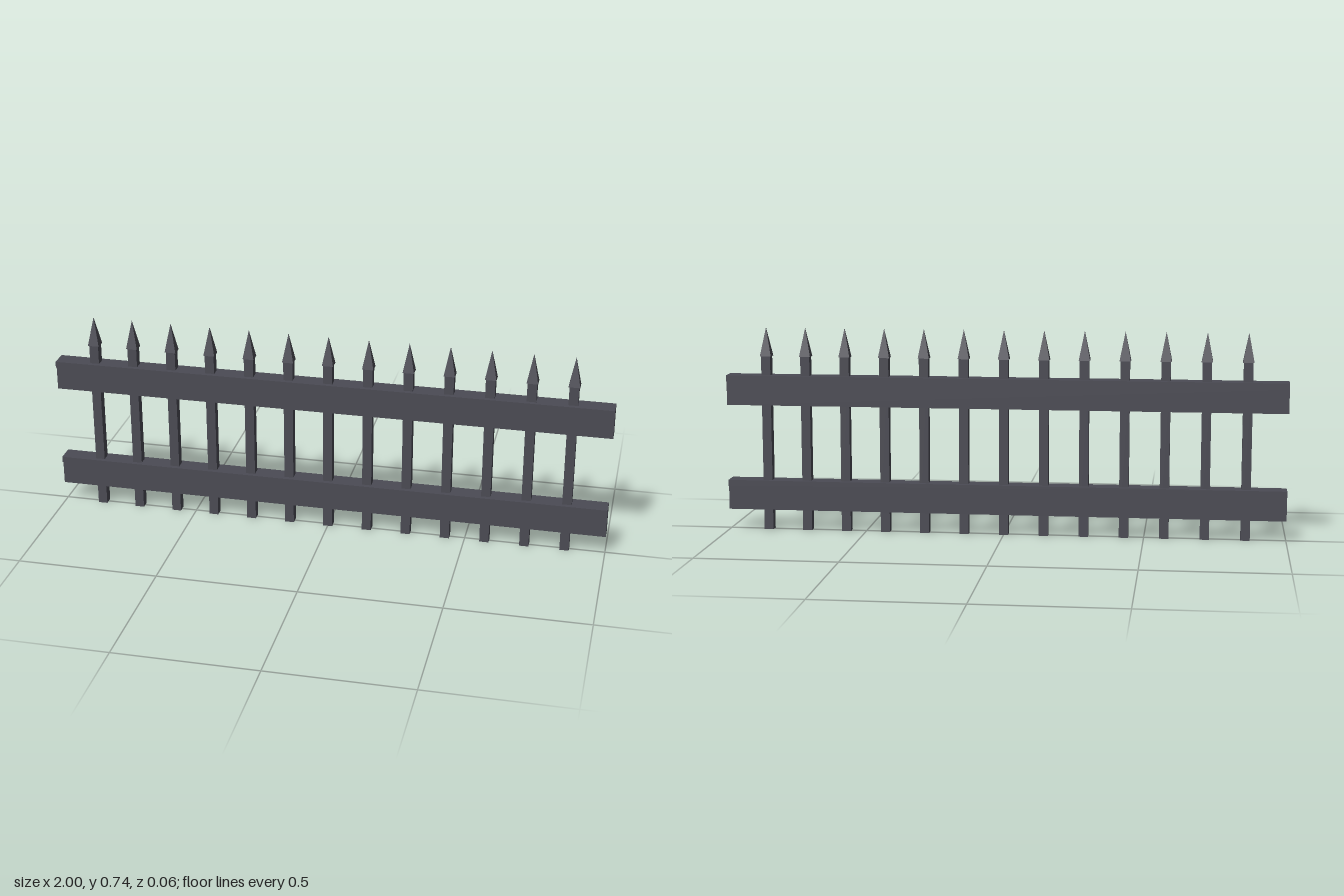
import * as THREE from 'three';

export function createModel() {
  const group = new THREE.Group();
  group.name = 'fence';
  const iron = new THREE.MeshStandardMaterial({ color: 0x4b4b54 });
  iron.name = 'dark iron';

  const add = (name, geometry, x, y, parent = group) => {
    const mesh = new THREE.Mesh(geometry, iron);
    mesh.name = name;
    mesh.position.set(x, y, 0);
    parent.add(mesh);
  };
  const bar = (w, bottom, top, d) => new THREE.BoxGeometry(w, top - bottom, d).translate(0, (bottom + top) / 2, 0);

  // Two horizontal rails, each with a wider cap strip on top
  const railBody = bar(2, 0, 0.086, 0.049);
  const railCap = bar(2, 0.086, 0.108, 0.065);
  for (const [name, y] of [['lower', 0.074], ['upper', 0.455]]) {
    add(name + 'Rail', railBody, 0, y);
    add(name + 'RailCap', railCap, 0, y);
  }

  // Square pickets with four-sided spear points
  const post = bar(0.033, 0, 0.631, 0.033);
  const point = new THREE.ConeGeometry(0.02 * Math.SQRT2, 0.104, 4, 1)
    .rotateY(Math.PI / 4)
    .translate(0, 0.052, 0)
    .toNonIndexed();
  point.computeVertexNormals();
  for (let i = -6; i <= 6; i++) {
    const picket = new THREE.Group();
    picket.name = 'picket' + (i + 7);
    picket.position.x = i / 7;
    add('post', post, 0, 0, picket);
    add('spearPoint', point, 0, 0.631, picket);
    group.add(picket);
  }
  return group;
}
